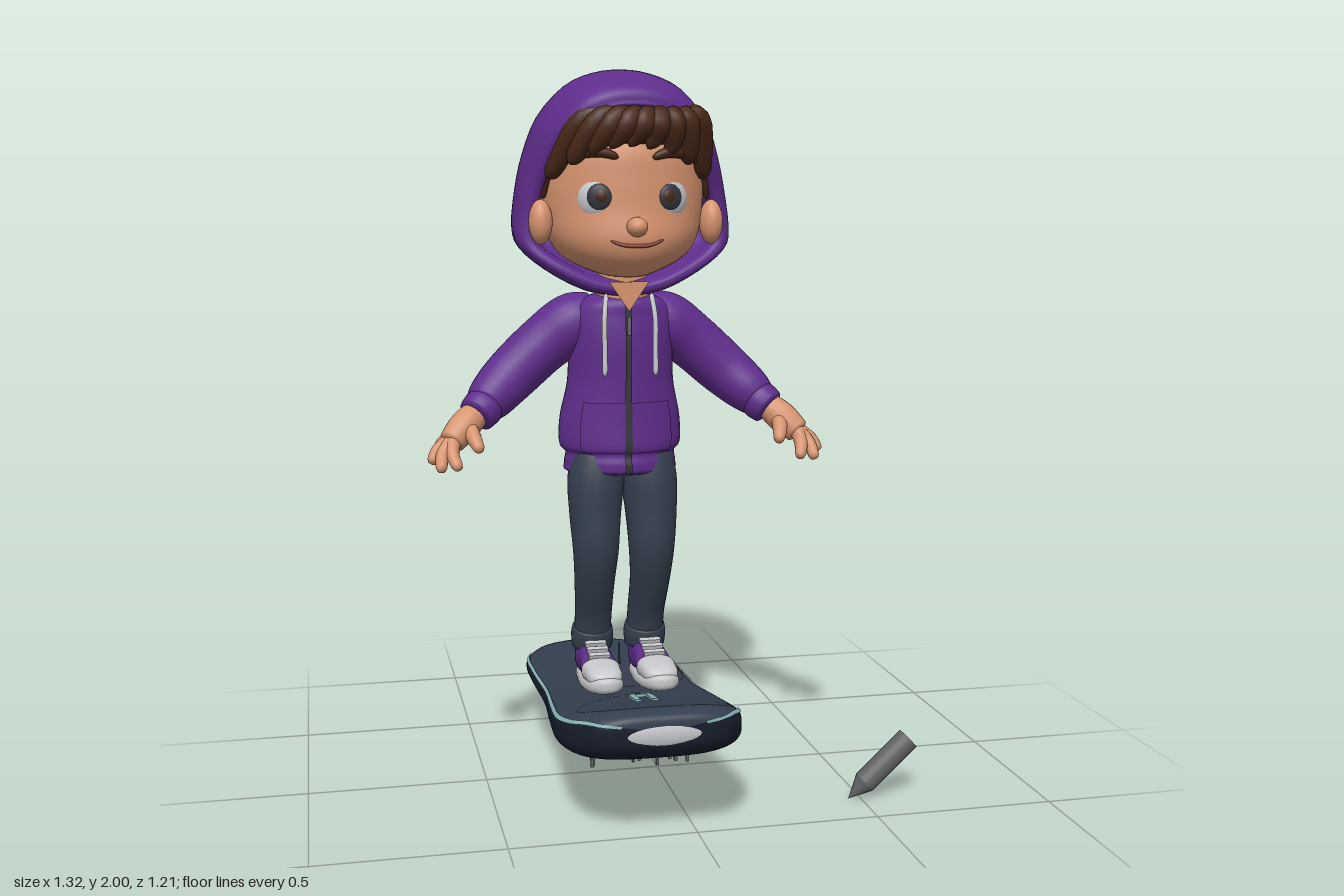
import * as THREE from 'three';
import { mergeVertices } from 'three/addons/utils/BufferGeometryUtils.js';

const paint = (name, color) => Object.assign(new THREE.MeshStandardMaterial({ color }), { name });
const purple = paint('hoodie purple', 0x5f2d8c), skin = paint('skin', 0xd6946f), brown = paint('hair brown', 0x482818);
const slate = paint('slate', 0x343f4e), navy = paint('dark navy', 0x171d2b), white = paint('light grey', 0xc6c7ca);
const grey = paint('mid grey', 0x606365), teal = paint('teal', 0x88b4b8), dark = paint('iris grey', 0x34353c);
const lip = paint('lip', 0x8c4a3a);
const { PI, sin, cos, abs, sign, sqrt } = Math;

// Smooth interpolation through the rows of a small table, t from 0 to 1
function spline(rows, t) {
  const n = rows.length - 1, i = Math.min(Math.floor(t * n), n - 1), f = t * n - i;
  const at = k => rows[Math.max(0, Math.min(n, k))];
  return rows[0].map((_, c) => {
    const [a, b, d, e] = [at(i - 1)[c], at(i)[c], at(i + 1)[c], at(i + 2)[c]];
    return b + 0.5 * f * (d - a + f * (2 * a - 5 * b + 4 * d - e + f * (3 * (b - d) + e - a)));
  });
}

// Smooth surface over a grid of points, turned so that it faces away from center
function grid(parent, name, mat, point, nu, nv, center) {
  const pos = [], idx = [];
  for (let i = 0; i <= nu; i++) for (let j = 0; j <= nv; j++) pos.push(...point(i / nu, j / nv));
  for (let i = 0; i < nu; i++) for (let j = 0; j < nv; j++) {
    const a = i * (nv + 1) + j, b = a + nv + 1;
    idx.push(a, b, a + 1, b, b + 1, a + 1);
  }
  let g = new THREE.BufferGeometry();
  g.setAttribute('position', new THREE.Float32BufferAttribute(pos, 3));
  g.computeBoundingBox();
  const o = center ? new THREE.Vector3(...center) : g.boundingBox.getCenter(new THREE.Vector3());
  const p = k => new THREE.Vector3().fromArray(pos, idx[k] * 3).sub(o);
  let volume = 0;
  for (let k = 0; k < idx.length; k += 3) volume += p(k).dot(p(k + 1).cross(p(k + 2)));
  if (volume < 0) idx.reverse();
  g.setIndex(idx);
  g = mergeVertices(g, 1e-5);
  g.computeVertexNormals();
  return add(parent, name, g, mat);
}

function add(parent, name, geometry, mat, x = 0, y = 0, z = 0) {
  const m = new THREE.Mesh(geometry, mat);
  m.name = name;
  m.position.set(x, y, z);
  parent.add(m);
  return m;
}

// Body from cross-sections [station, half width, low, high] along y or z; ranges pick a patch of it
function body(parent, name, mat, rows, { axis = 'y', p = 1, a = [0, 2 * PI], u = [0, 1], grow = 0, nu = 40, nv = 36, x = 0, center } = {}) {
  return grid(parent, name, mat, (s, v) => {
    const [st, w, lo, hi] = spline(rows, u[0] + (u[1] - u[0]) * s), t = a[0] + (a[1] - a[0]) * v;
    const c = sign(cos(t)) * abs(cos(t)) ** p, d = sign(sin(t)) * abs(sin(t)) ** p;
    const px = x + (w + grow) * c, q = (lo + hi) / 2 + ((hi - lo) / 2 + grow) * d;
    return axis === 'y' ? [px, st, q] : [px, q, st];
  }, nu, nv, center);
}

// Round limb through points [x, y, z, radius], side mirrors x
function limb(parent, name, mat, pts, side = 1, nu = 20, nv = 16) {
  const ref = new THREE.Vector3(0, 0, 1);
  return grid(parent, name, mat, (s, v) => {
    const [x, y, z, r] = spline(pts, s), b = spline(pts, Math.min(1, s + 0.01)), c = spline(pts, Math.max(0, s - 0.01));
    const t = new THREE.Vector3(b[0] - c[0], b[1] - c[1], b[2] - c[2]).normalize();
    const n = t.clone().cross(ref).normalize(), m = t.clone().cross(n);
    const e = Math.round(Math.min(s, 1 - s) * nu), k = r * (e === 0 ? 0 : e === 1 ? 0.8 : 1);
    const q = n.multiplyScalar(k * cos(v * 2 * PI)).add(m.multiplyScalar(k * sin(v * 2 * PI)));
    return [side * (x + q.x), y + q.y, z + q.z];
  }, nu, nv);
}

function ball(parent, name, mat, [x, y, z], [sx, sy, sz], turn = 0) {
  const m = add(parent, name, new THREE.SphereGeometry(1, 28, 20), mat, x, y, z);
  m.scale.set(sx, sy, sz);
  m.rotation.y = turn;
  return m;
}

function buildHood(g) {
  const half = [[0, 0], [.35, .03], [.7, .12], [.95, .22], [1, .31], [.95, .48], [.87, .64], [.74, .8], [.5, .93], [.25, .985], [0, 1]];
  const outline = [...half, ...half.slice(0, -1).reverse().map(([x, y]) => [-x, y])];
  // z at top, z at bottom, lowest y, highest y, half width, side dip, roundness
  const rows = [[.1, .03, 1.6, 1.64, 0, 0, 0], [.1, .03, 1.46, 1.86, .22, .05, 0], [.235, .13, 1.425, 1.885, .247, .08, 0],
    [.25, .145, 1.405, 1.905, .264, .08, 0], [.235, .13, 1.39, 1.94, .283, .07, 0], [.15, .08, 1.385, 1.98, .297, .03, 0],
    [.03, .02, 1.385, 2, .3, 0, .1], [-.08, -.08, 1.39, 1.985, .29, 0, .2], [-.17, -.18, 1.42, 1.94, .255, 0, .4],
    [-.245, -.25, 1.47, 1.885, .2, 0, .6], [-.295, -.29, 1.55, 1.83, .12, 0, .8], [-.325, -.3, 1.67, 1.79, .04, 0, 1],
    [-.333, -.31, 1.74, 1.78, 0, 0, 1]];
  grid(g, 'hood', purple, (u, v) => {
    const [zt, zb, lo, hi, w, dip, round] = spline(rows, u), [ox, oy] = spline(outline, v);
    const x = ox + (sin(v * 2 * PI) - ox) * round, y = oy + ((1 - cos(v * 2 * PI)) / 2 - oy) * round;
    return [w * x, lo + (hi - lo) * y, zb + (zt - zb) * y - dip * sin(PI * y) * abs(x)];
  }, 60, 60);
}

function buildHead(g) {
  body(g, 'head', skin, [[1.44, 0, .1, .1], [1.445, .05, 0, .185], [1.465, .11, -.08, .22], [1.5, .17, -.12, .25], [1.55, .205, -.15, .262],
    [1.62, .222, -.16, .252], [1.7, .225, -.16, .248], [1.78, .212, -.15, .24], [1.84, .16, -.1, .2], [1.875, 0, .04, .06]]);
  add(g, 'neck', new THREE.CylinderGeometry(.07, .075, .16, 24), skin, 0, 1.42, .05);
  const v = new THREE.Shape([[-.055, 1.43], [0, 1.35], [.055, 1.43]].map(q => new THREE.Vector2(...q)));
  add(g, 'neckline', new THREE.ShapeGeometry(v), skin, 0, 0, .153);
  ball(g, 'nose', skin, [0, 1.578, .262], [.028, .026, .034]);
  limb(g, 'mouth', lip, [[-.07, 1.542, .25, .003], [-.03, 1.53, .261, .005], [.03, 1.53, .261, .005], [.075, 1.545, .249, .003]]);
  // Hair cap and swept fringe
  body(g, 'hairCap', brown, [[1.785, 0, .1, .12], [1.79, .2, -.1, .225], [1.82, .212, -.1, .258], [1.86, .17, -.05, .262], [1.885, .1, 0, .25], [1.895, 0, .1, .15]]);
  const onFace = x => .05 + .2 * sqrt(1 - (x / .23) ** 2);
  for (let i = 0; i < 9; i++) {
    const x = -.2 + i * .05, y = 1.815 - abs(x) ** 2 * 2;
    limb(g, 'fringeLock', brown, [[x * .5 + .04, 1.875, .225, .025], [x * .8 + .02, 1.85, onFace(x * .8) + .012, .034],
      [x, y, onFace(x) + .006, .026], [x - .02 * (x < .15 ? 1 : 0), y - .03, onFace(x) + .004, .008]], 1, 14, 12);
  }
  for (const s of [-1, 1]) {
    ball(g, 'ear', skin, [s * .235, 1.59, .12], [.032, .06, .04]);
    ball(g, 'eye', white, [s * .098, 1.652, .207], [.054, .055, .03], s * .4);
    ball(g, 'iris', dark, [s * .095, 1.655, .229], [.034, .036, .013], s * .25);
    ball(g, 'pupil', brown, [s * .092, 1.657, .236], [.019, .02, .009], s * .25);
    limb(g, 'eyebrow', brown, [[.045, 1.757, .242, .008], [.095, 1.773, .232, .015], [.15, 1.766, .2, .013], [.188, 1.742, .163, .004]], s);
    limb(g, 'sideburn', brown, [[.2, 1.8, .13, .03], [.218, 1.73, .115, .022], [.226, 1.65, .1, .006]], s);
  }
}

function buildClothes(g) {
  const torso = [[.89, 0, .01, .02], [.895, .145, -.1, .12], [.92, .158, -.115, .135], [.95, .155, -.11, .13], [.975, .172, -.122, .138],
    [1.05, .17, -.115, .135], [1.15, .15, -.095, .135], [1.25, .148, -.09, .14], [1.33, .15, -.09, .135], [1.38, .11, -.07, .125], [1.41, 0, .02, .05]];
  const front = w => [PI / 2 - w, PI / 2 + w], center = [0, 1.1, 0];
  body(g, 'hoodieTorso', purple, torso, { nu: 60 });
  body(g, 'pocket', purple, torso, { a: front(.8), u: [.34, .55], grow: .006, nu: 12, center });
  body(g, 'zipper', dark, torso, { a: front(.055), u: [.1, .86], grow: .009, nv: 4, center });
  add(g, 'zipperPull', new THREE.BoxGeometry(.012, .05, .006), grey, 0, 1.31, .152);
  for (const s of [-1, 1]) {
    limb(g, 'drawstring', white, [[.062, 1.4, .145, .007], [.07, 1.33, .163, .007], [.07, 1.25, .165, .007], [.07, 1.175, .167, .008]], s);
    limb(g, 'sleeve', purple, [[.07, 1.32, .01, .07], [.13, 1.31, .005, .085], [.21, 1.255, 0, .08], [.3, 1.175, .012, .076], [.365, 1.115, .05, .066], [.395, 1.085, .077, .05]], s, 28, 22);
    limb(g, 'sleeveCuff', purple, [[.375, 1.1, .062, .052], [.395, 1.085, .076, .056], [.418, 1.064, .094, .05]], s, 12, 20);
    limb(g, 'trouserLeg', slate, [[.06, .98, .03, .07], [.075, .88, .045, .08], [.08, .78, .057, .073], [.08, .68, .065, .065], [.08, .58, .04, .057], [.077, .48, 0, .053], [.077, .39, -.022, .053]], s, 30, 22);
    limb(g, 'trouserCuff', slate, [[.077, .445, -.012, .055], [.077, .41, -.02, .061], [.077, .365, -.025, .056]], s, 12, 22);
  }
}

function buildHand(g, s) {
  limb(g, 'palm', skin, [[.4, 1.085, .08, .034], [.445, 1.045, .108, .043], [.49, 1, .14, .034]], s);
  const tips = [[.51, .97, .062], [.54, .95, .16], [.517, .934, .2], [.47, .94, .21]];
  tips.forEach(([x, y, z], i) => limb(g, 'finger', skin, [[.468 + i * .002, 1.02, .11 + i * .01, .022],
    [(x + .485) / 2 + .008, (y + 1.02) / 2, (z + .125) / 2, .019], [x, y, z, .014]], s, 12, 12));
  limb(g, 'thumb', skin, [[.435, 1.045, .12, .022], [.425, 1.015, .165, .02], [.412, .985, .198, .013]], s, 12, 12);
}

function buildShoe(g, s) {
  const o = { axis: 'z', x: s * .079, p: .8, nu: 24, nv: 24 };
  body(g, 'shoeSole', white, [[-.087, 0, .28, .285], [-.08, .034, .262, .306], [0, .047, .268, .318], [.12, .057, .285, .335], [.2, .051, .298, .346], [.238, .03, .31, .35], [.247, 0, .325, .335]], o);
  body(g, 'shoeUpper', purple, [[-.083, 0, .3, .36], [-.075, .036, .29, .385], [-.03, .046, .29, .4], [.04, .046, .3, .395], [.1, .051, .31, .375], [.14, .045, .32, .35], [.15, 0, .33, .335]], o);
  body(g, 'toeCap', white, [[.1, 0, .32, .33], [.11, .05, .31, .374], [.16, .052, .315, .374], [.21, .042, .32, .364], [.235, 0, .33, .34]], o);
  for (let i = 0; i < 3; i++) add(g, 'lace', new THREE.BoxGeometry(.06, .012, .016), white, s * .079, .398 - i * .009, .045 + i * .03).rotation.x = .3;
}

function buildBoard(g) {
  const rows = [[-.605, 0, .205, .22], [-.604, .03, .2, .228], [-.59, .09, .192, .232], [-.54, .16, .187, .238], [-.42, .215, .185, .243],
    [-.25, .224, .187, .253], [0, .222, .19, .272], [.2, .237, .195, .3], [.36, .246, .2, .325], [.48, .233, .215, .352],
    [.54, .2, .23, .364], [.575, .17, .25, .362], [.594, .12, .275, .35], [.597, 0, .3, .32]];
  const o = { axis: 'z', p: .6, nu: 60 };
  body(g, 'boardDeck', slate, rows, { ...o, a: [.45, PI - .45], center: [0, -1, 0] });
  body(g, 'boardHull', navy, rows, { ...o, a: [PI - .45, 2 * PI + .45], center: [0, .7, 0] });
  for (const s of [0, 1]) {
    const a = s ? [PI - .46, PI - .3] : [.3, .46];
    body(g, 'sideStripe', teal, rows, { ...o, a, u: [.28, .93], grow: .004, nv: 4, center: [0, .26, 0] });
  }
  ball(g, 'nosePlate', white, [0, .308, .585], [.13, .036, .016]);
  // U-shaped deck mark
  for (const [w, d, x, z] of [[.016, .1, -.023, .328], [.016, .1, .023, .328], [.06, .018, 0, .286]])
    add(g, 'deckMark', new THREE.BoxGeometry(w, .008, d), teal, x, .322 + (z - .328) * .15, z).rotation.x = -.155;
  // Rear thrusters
  for (const s of [-1, 1]) {
    add(g, 'rearThruster', new THREE.CylinderGeometry(.068, .064, .1, 28), slate, s * .079, .15, -.435);
    add(g, 'thrusterNozzle', new THREE.CylinderGeometry(.045, .045, .006, 24), grey, s * .079, .099, -.435);
  }
  // Ragged strands under the front half
  let seed = 7;
  const rand = () => (seed = (seed * 16807) % 2147483647) / 2147483647;
  rand();
  for (let i = 0; i < 90; i++) {
    const h = .03 + rand() * .06;
    add(g, 'thrusterStrand', new THREE.BoxGeometry(.008, h, .01), grey, (rand() - .5) * .27, .2 - h / 2, -.07 + rand() * .37);
  }
  for (let i = 0; i < 7; i++)
    add(g, 'deckSpike', new THREE.BoxGeometry(.004, .06 + rand() * .03, .004), dark, (rand() - .5) * .2, .275, -.1 - rand() * .16);
}

function buildPencil(g) {
  const pencil = new THREE.Group();
  pencil.name = 'pointedRod';
  add(pencil, 'rodTip', new THREE.ConeGeometry(.032, .065, 24), grey, 0, .0325, 0).rotation.x = PI;
  add(pencil, 'rodBody', new THREE.CylinderGeometry(.032, .032, .172, 24), grey, 0, .151, 0);
  pencil.position.set(.465, .002, .36);
  pencil.rotation.z = -.82;
  g.add(pencil);
}

export function createModel() {
  const model = new THREE.Group(), rider = new THREE.Group(), board = new THREE.Group();
  model.name = 'hoverboardRider';
  rider.name = 'rider';
  board.name = 'hoverboard';
  rider.position.x = board.position.x = -.11;
  model.add(rider, board);
  buildHood(rider);
  buildHead(rider);
  buildClothes(rider);
  for (const s of [-1, 1]) {
    buildHand(rider, s);
    buildShoe(rider, s);
  }
  buildBoard(board);
  buildPencil(model);
  return model;
}
